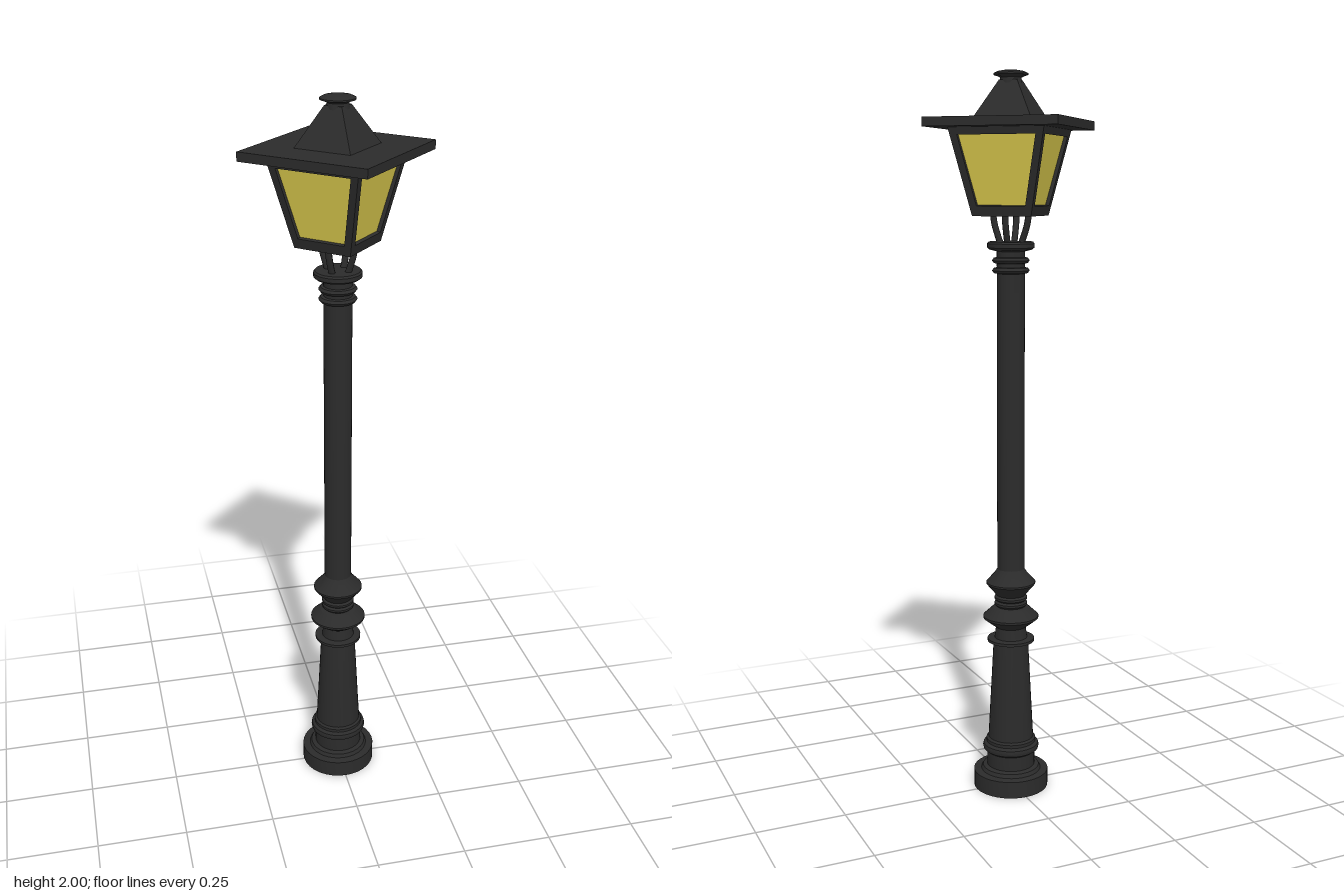
import * as THREE from 'three';
import { toCreasedNormals } from 'three/addons/utils/BufferGeometryUtils.js';

const iron = new THREE.MeshStandardMaterial({ color: 0x2b2b2b });
const glassMat = new THREE.MeshStandardMaterial({ color: 0xdccb4e });
const TURN = 0.047; // the lantern sits slightly twisted on its post

function part(name, geometry, material = iron) {
  const mesh = new THREE.Mesh(geometry, material);
  mesh.name = name;
  return mesh;
}

// Turned part from [radius, height] pairs
function turned(name, profile) {
  const points = profile.map(([r, y]) => new THREE.Vector2(r, y));
  return part(name, toCreasedNormals(new THREE.LatheGeometry(points, 32), 0.5));
}

// Square frustum with corner radii, between two heights
function square(name, rBottom, rTop, y0, y1, material) {
  const geo = new THREE.CylinderGeometry(rTop, rBottom, y1 - y0, 4).toNonIndexed();
  geo.computeVertexNormals();
  geo.translate(0, (y0 + y1) / 2, 0);
  return part(name, geo, material);
}

function createModel() {
  const model = new THREE.Group();
  model.name = 'streetLamp';

  // Post
  model.add(turned('base', [
    [0, 0], [0.106, 0], [0.106, 0.048], [0.085, 0.05], [0.08, 0.06], [0.068, 0.064],
    [0.068, 0.105], [0.078, 0.112], [0.08, 0.12], [0.078, 0.128], [0.07, 0.134],
    [0.07, 0.143], [0.064, 0.148], [0.049, 0.432], [0.066, 0.434], [0.066, 0.442], [0.046, 0.444], [0, 0.444],
  ]));
  model.add(turned('lowerCollar', [
    [0.046, 0.444], [0.042, 0.475], [0.055, 0.484], [0.078, 0.502], [0.078, 0.508],
    [0.052, 0.532], [0.04, 0.535], [0.046, 0.541], [0.046, 0.547], [0.04, 0.552],
    [0.046, 0.557], [0.046, 0.563], [0.04, 0.568], [0.046, 0.575],
    [0.069, 0.602], [0.069, 0.607], [0.046, 0.632], [0.038, 0.645],
  ]));
  model.add(turned('shaft', [[0.038, 0.64], [0.038, 1.54]]));
  for (const y of [1.477, 1.504]) {
    model.add(turned('neckRing', [
      [0.036, y - 0.009], [0.046, y - 0.007], [0.051, y], [0.046, y + 0.007], [0.036, y + 0.009],
    ]));
  }
  model.add(turned('topCollar', [
    [0.038, 1.528], [0.058, 1.533], [0.064, 1.538], [0.064, 1.549], [0.06, 1.554], [0, 1.554],
  ]));

  const lantern = new THREE.Group();
  lantern.name = 'lantern';
  lantern.rotation.y = TURN;
  model.add(lantern);

  // Curved brackets carrying the lantern
  for (let i = 0; i < 4; i++) {
    const curve = new THREE.CatmullRomCurve3([
      [0.028, 1.545], [0.037, 1.57], [0.046, 1.6], [0.05, 1.626],
    ].map(([r, y]) => new THREE.Vector3(r, y, 0)));
    const bracket = part('bracket', new THREE.TubeGeometry(curve, 10, 0.009, 8));
    bracket.rotation.y = Math.PI / 4 + i * Math.PI / 2;
    lantern.add(bracket);
  }

  // Glazed body
  const yLow = 1.622, yHigh = 1.852, rLow = 0.115, rHigh = 0.185;
  lantern.add(square('lanternFloor', rLow - 0.003, rLow, yLow, yLow + 0.02));
  lantern.add(square('glass', rLow - 0.014, rHigh - 0.014, yLow + 0.005, yHigh, glassMat));

  // Four leaning window frames
  const apLow = rLow * Math.SQRT1_2, apHigh = rHigh * Math.SQRT1_2;
  const rise = yHigh - yLow, lean = Math.atan2(apHigh - apLow, rise);
  const slant = Math.hypot(rise, apHigh - apLow);
  const halfAt = (y) => apLow + (apHigh - apLow) * y / slant;
  const outline = (y0, y1, inset) => [
    [-halfAt(y0) + inset, y0], [halfAt(y0) - inset, y0], [halfAt(y1) - inset, y1], [-halfAt(y1) + inset, y1],
  ].map(([x, y]) => new THREE.Vector2(x, y));
  const shape = new THREE.Shape(outline(0, slant, 0));
  shape.holes.push(new THREE.Path(outline(0.027, slant - 0.022, 0.02)));
  const frameGeo = new THREE.ExtrudeGeometry(shape, { depth: 0.014, bevelEnabled: false });
  frameGeo.translate(0, 0, -0.014);
  frameGeo.rotateX(lean);
  frameGeo.translate(0, yLow, apLow);
  for (let i = 0; i < 4; i++) {
    const frame = part('windowFrame', frameGeo);
    frame.rotation.y = Math.PI / 4 + i * Math.PI / 2;
    lantern.add(frame);
  }

  // Roof
  lantern.add(square('roofPlate', 0.257, 0.257, 1.85, 1.874));
  lantern.add(square('roofPyramid', 0.113, 0.035, 1.874, 1.974));
  model.add(turned('finial', [
    [0.03, 1.965], [0.028, 1.98], [0.036, 1.984], [0.046, 1.987], [0.046, 1.991],
    [0.036, 1.996], [0.02, 1.999], [0, 2],
  ]));
  return model;
}

export { createModel };
